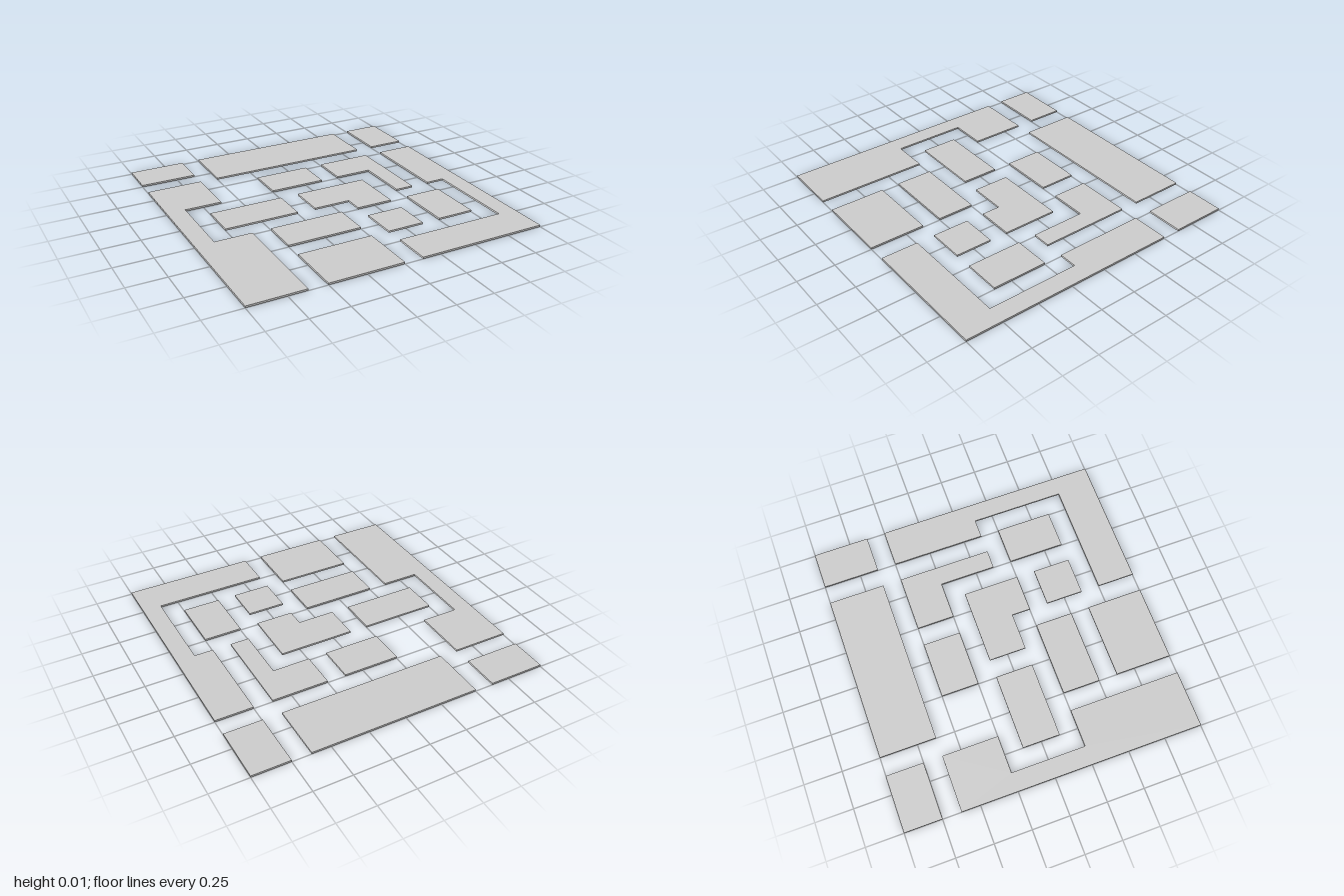
import * as THREE from 'three';

const CELL = 0.125; // the plan is a 16 x 16 grid of cells
const THICKNESS = 0.0125;

const rect = (x0, z0, x1, z1) => [[x0, z0], [x1, z0], [x1, z1], [x0, z1]];

// Outlines in grid cells, [column, row] counted from the back right corner (-x, -z)
const BLOCKS = {
  backRightCornerBlock: rect(0, 0, 3, 2),
  backLongBlock: rect(4, 0, 13, 3),
  backLeftCornerBlock: rect(14, 0, 16, 3),
  rightNotchedBlock: [[0, 3], [3, 3], [3, 6], [1, 6], [1, 10], [3, 10], [3, 16], [0, 16]],
  innerBackBlock: rect(6, 4, 9, 6),
  innerHookBlock: [[10, 4], [13, 4], [13, 9], [12, 9], [12, 6], [10, 6]],
  leftCornerWrapBlock: [[14, 4], [16, 4], [16, 16], [9, 16], [9, 14], [15, 14], [15, 9], [14, 9]],
  innerRightBlock: rect(2, 7, 6, 9),
  centreStepBlock: [[7, 7], [11, 7], [11, 10], [9, 10], [9, 9], [7, 9]],
  innerFrontBlock: rect(4, 10, 8, 12),
  frontBlock: rect(4, 13, 8, 16),
  smallSquareBlock: rect(9, 11, 11, 13),
  innerLeftBlock: rect(12, 10, 14, 13),
};

export function createModel() {
  const model = new THREE.Group();
  model.name = 'blockPlan';
  const material = new THREE.MeshStandardMaterial({ color: 0xcccccc });

  // Each block is a thin flat slab lying on the ground
  for (const [name, outline] of Object.entries(BLOCKS)) {
    const shape = new THREE.Shape(
      outline.map(([col, row]) => new THREE.Vector2(col * CELL - 1, 1 - row * CELL))
    );
    const geometry = new THREE.ExtrudeGeometry(shape, { depth: THICKNESS, bevelEnabled: false });
    geometry.rotateX(-Math.PI / 2);
    const block = new THREE.Mesh(geometry, material);
    block.name = name;
    model.add(block);
  }
  return model;
}
